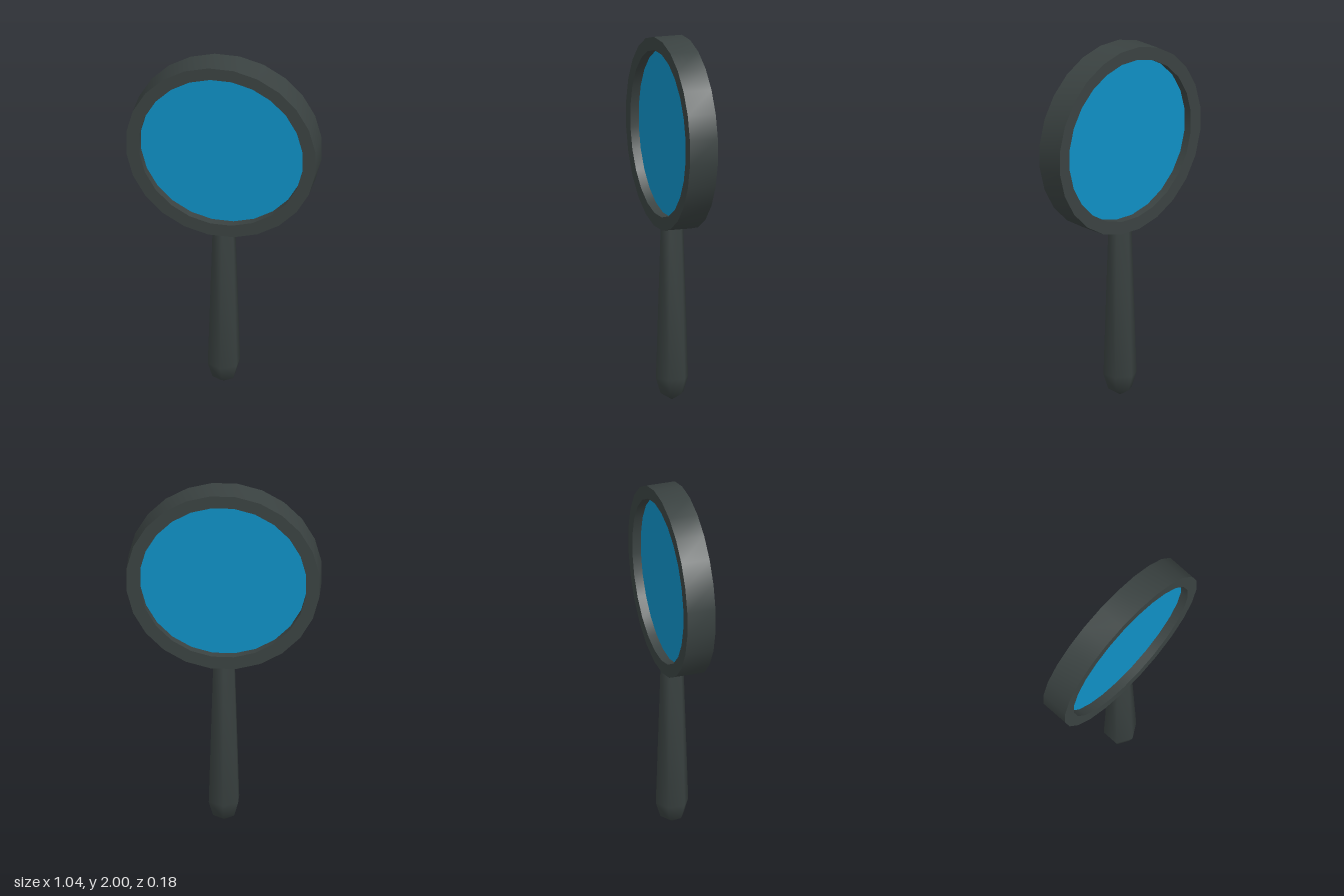
import * as THREE from 'three';
import { toCreasedNormals } from 'three/addons/utils/BufferGeometryUtils.js';

const SIDES = 24;
const CENTRE_Y = 1.478;
const OUTER = 0.527;
const INNER = 0.455;
const HALF_DEPTH = 0.08;

const points = (pairs) => pairs.map(([r, y]) => new THREE.Vector2(r, y));

export function createModel() {
  const group = new THREE.Group();
  group.name = 'magnifyingGlass';

  const frameMaterial = new THREE.MeshStandardMaterial({ color: 0x3a4241 });
  frameMaterial.name = 'dark grey';
  const lensMaterial = new THREE.MeshStandardMaterial({ color: 0x0f8fc4 });
  lensMaterial.name = 'lens blue';

  const add = (name, geometry, material) => {
    const mesh = new THREE.Mesh(geometry, material);
    mesh.name = name;
    group.add(mesh);
    return mesh;
  };

  // Rim: square profile turned about the z axis, flat side on top
  const rimProfile = points([
    [INNER, -HALF_DEPTH], [OUTER, -HALF_DEPTH],
    [OUTER, HALF_DEPTH], [INNER, HALF_DEPTH], [INNER, -HALF_DEPTH],
  ]);
  const rim = toCreasedNormals(new THREE.LatheGeometry(rimProfile, SIDES, Math.PI / SIDES), 0.6);
  rim.rotateX(Math.PI / 2);
  add('rim', rim, frameMaterial).position.y = CENTRE_Y;

  // Lens: disc recessed on both sides of the rim
  const lens = new THREE.CylinderGeometry(INNER, INNER, 0.064, SIDES, 1, false, Math.PI / SIDES);
  lens.rotateX(Math.PI / 2);
  add('lens', lens, lensMaterial).position.y = CENTRE_Y;

  // Handle: six-sided taper with a rounded butt, ending inside the rim
  const handleProfile = points([[0, 0], [0.066, 0.04], [0.092, 0.125], [0.064, 0.99], [0, 0.99]]);
  const handle = toCreasedNormals(new THREE.LatheGeometry(handleProfile, 6), 1.3);
  add('handle', handle, frameMaterial);

  return group;
}
